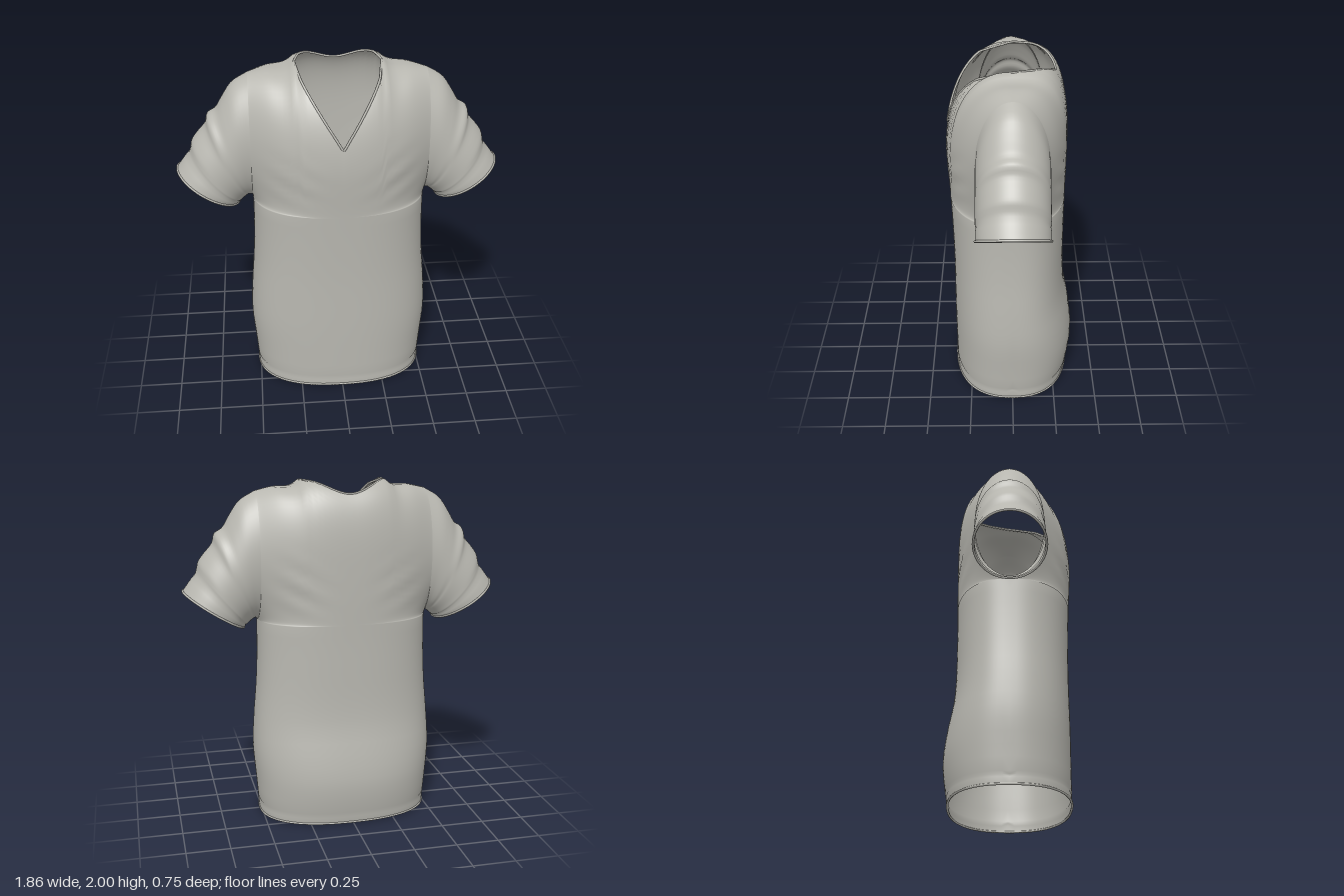
import * as THREE from 'three';
import { mergeGeometries, mergeVertices } from 'three/addons/utils/BufferGeometryUtils.js';

const COLS = 25;                 // panel columns each side of the centre
const NECK_COL = 8;              // column where the neckline meets the shoulder
const ARM_ROWS = 30;             // rows from armpit to shoulder
const SLEEVE_STEPS = 32;
const ARMPIT = 1.2, HALF = 0.5, SLEEVE_Z = 0.2;
const HEM_ROWS = [0, 0.045, 0.06, 0.075, 0.15];
while (HEM_ROWS.at(-1) < ARMPIT - 0.01) HEM_ROWS.push(HEM_ROWS.at(-1) + 0.07);
const LOW = HEM_ROWS.length - 1; // last row is the armpit

// Smooth lookup through a few sample points
function curve(at, values) {
  const c = new THREE.CubicInterpolant(at, values, 1, [0]);
  return t => c.evaluate(t)[0];
}
const halfWidth = curve([0, 0.2, 0.4, 0.6, 0.8, 1.0, 1.2], [0.51, 0.525, 0.54, 0.53, 0.512, 0.502, HALF]);
const frontDepth = curve([0, 0.4, 0.8, 1.2, 1.45, 1.6, 2.1], [0.35, 0.352, 0.35, 0.362, 0.376, 0.376, 0.37]);
const backDepth = curve([0, 0.07, 0.25, 0.4, 0.6, 1.0, 1.4, 2.1], [0.34, 0.352, 0.372, 0.355, 0.318, 0.308, 0.314, 0.314]);
const shoulderTop = curve([0, 0.48, 0.56, 0.8, 1], [2, 2, 1.972, 1.962, 1.94]);

const across = i => Math.sin((i / COLS) * Math.PI / 2);
const rise = a => (1 - Math.cos(Math.PI * a)) / 2;
const neckX = HALF * across(NECK_COL);

// Body surface below the armpit: a closed rounded section at height y
function lowerPoint(s, y, side) {
  const seam = Math.abs(y - 0.06) < 0.001 ? 0.988 : 1;
  const depth = (side > 0 ? frontDepth : backDepth)(y);
  const round = Math.pow(Math.max(0, 1 - Math.abs(s) ** 2.4), 1 / 2.4);
  return new THREE.Vector3(halfWidth(y) * s * seam, y, side * depth * round * seam);
}

// Body surface above the armpit: outer edge follows the armhole, top rolls over the shoulder
function upperPoint(s, a, side) {
  const f = rise(a), x = HALF * s;
  const y = ARMPIT + (shoulderTop(Math.abs(s)) - ARMPIT) * f;
  const edge = SLEEVE_Z * Math.sin(Math.PI * a);
  const n = side > 0 ? 2.4 : 3.8;
  const roll = Math.pow(Math.max(0, 1 - Math.max(0, (f - 0.3) / 0.7) ** n), 1 / n);
  const depth = (side > 0 ? frontDepth : backDepth)(y) * roll;
  const open = a < 0.5 ? Math.sin(Math.PI * a) : 1;
  const bulge = Math.pow(Math.max(0, 1 - Math.abs(s) ** 2.4), THREE.MathUtils.lerp(1 / 2.4, 1.1, open));
  // soft diagonal folds near the armpit
  const fold = 0.007 * (1 - s * s) * Math.sin((y - 0.5 * Math.abs(x)) * 45)
    * Math.exp(-((Math.abs(x) - 0.34) ** 2 + (y - 1.42) ** 2) / 0.02) * Math.min(1, a * 4);
  return new THREE.Vector3(x, y, side * (edge + (depth - edge) * bulge + fold));
}

// How far up a column runs before the neckline cuts it
function columnEnd(i, side) {
  if (Math.abs(i) >= NECK_COL) return 1;
  const s = across(i), x = HALF * s;
  const vLine = 1.62 + 0.38 * Math.abs(x) / neckX;
  const circle = Math.sqrt(neckX * neckX - x * x);
  let lo = 0.4, hi = 1;
  for (let k = 0; k < 30; k++) {
    const mid = (lo + hi) / 2, p = upperPoint(s, mid, side);
    const inside = side > 0 ? p.y < vLine : -p.z > circle;
    if (inside) lo = mid; else hi = mid;
  }
  return lo;
}

function panelPoint(i, j, side) {
  const s = across(i);
  if (j <= LOW) return lowerPoint(s, HEM_ROWS[j], side);
  return upperPoint(s, columnEnd(i, side) * (j - LOW) / ARM_ROWS, side);
}

// Sleeve: upper and lower outlines, with an oval section spanning them
const outline = pts => new THREE.CatmullRomCurve3(pts.map(([x, y]) => new THREE.Vector3(x, y, 0)));
const sleeveUpper = outline([[HALF, 1.94], [0.59, 1.885], [0.65, 1.8], [0.69, 1.735], [0.735, 1.705],
  [0.75, 1.65], [0.8, 1.59], [0.832, 1.545], [0.845, 1.495], [0.925, 1.38]]);
const sleeveLower = outline([[HALF, ARMPIT], [0.515, 1.21], [0.535, 1.2], [0.58, 1.16]]);
function sleevePoint(k, j, mirror) {
  const front = j <= ARM_ROWS;
  const a = (front ? j : 2 * ARM_ROWS - j) / ARM_ROWS;
  const u = sleeveUpper.getPoint(k / SLEEVE_STEPS), l = sleeveLower.getPoint(k / SLEEVE_STEPS);
  const p = l.clone().lerp(u, rise(a));
  p.z = (front ? 1 : -1) * SLEEVE_Z * Math.sin(Math.PI * a);
  if (k === SLEEVE_STEPS - 3) p.lerp(l.clone().lerp(u, 0.5), 0.025); // cuff seam
  p.x *= mirror;
  return p;
}

// Grid of quads from a point rule
function grid(nu, nv, point, flip) {
  const pos = [], index = [];
  for (let u = 0; u <= nu; u++) for (let v = 0; v <= nv; v++) pos.push(...point(u, v).toArray());
  for (let u = 0; u < nu; u++) for (let v = 0; v < nv; v++) {
    const a = u * (nv + 1) + v, b = a + nv + 1;
    if (flip) index.push(a, b + 1, b, a, a + 1, b + 1);
    else index.push(a, b, b + 1, a, b + 1, a + 1);
  }
  const g = new THREE.BufferGeometry();
  g.setAttribute('position', new THREE.Float32BufferAttribute(pos, 3));
  g.setIndex(index);
  return g;
}

export function createModel() {
  const group = new THREE.Group();
  group.name = 'shirt';
  const cloth = new THREE.MeshStandardMaterial({ color: 0xb8b7b0, side: THREE.DoubleSide });
  cloth.name = 'warm grey cloth';
  const add = (name, geometry) => {
    const mesh = new THREE.Mesh(geometry, cloth);
    mesh.name = name;
    group.add(mesh);
  };

  // Front, back and both sleeves welded into one smooth skin
  const rows = LOW + ARM_ROWS;
  const skin = mergeVertices(mergeGeometries([
    grid(2 * COLS, rows, (u, v) => panelPoint(u - COLS, v, 1), false),
    grid(2 * COLS, rows, (u, v) => panelPoint(u - COLS, v, -1), true),
    grid(SLEEVE_STEPS, 2 * ARM_ROWS, (u, v) => sleevePoint(u, v, 1), false),
    grid(SLEEVE_STEPS, 2 * ARM_ROWS, (u, v) => sleevePoint(u, v, -1), true),
  ]), 1e-4);
  skin.computeVertexNormals();
  add('bodyAndSleeves', skin);

  // Rolled edges give the cloth its thickness
  const rolledEdge = (name, points) => {
    const path = new THREE.CatmullRomCurve3(points, true, 'catmullrom', 0.2);
    add(name, new THREE.TubeGeometry(path, 160, 0.007, 6, true));
  };
  const loop = (n, row) => {
    const pts = [];
    for (let i = -n; i <= n; i++) pts.push(panelPoint(i, row, 1));
    for (let i = n - 1; i > -n; i--) pts.push(panelPoint(i, row, -1));
    return pts;
  };
  rolledEdge('neckline', loop(NECK_COL, rows).map(p => p.setY(p.y - 0.005)));
  rolledEdge('hem', loop(COLS, 0).map(p => p.setY(0.007)));
  for (const [name, mirror] of [['leftCuff', 1], ['rightCuff', -1]]) {
    const pts = [];
    for (let j = 0; j < 2 * ARM_ROWS; j++) pts.push(sleevePoint(SLEEVE_STEPS, j, mirror));
    rolledEdge(name, pts);
  }
  return group;
}
